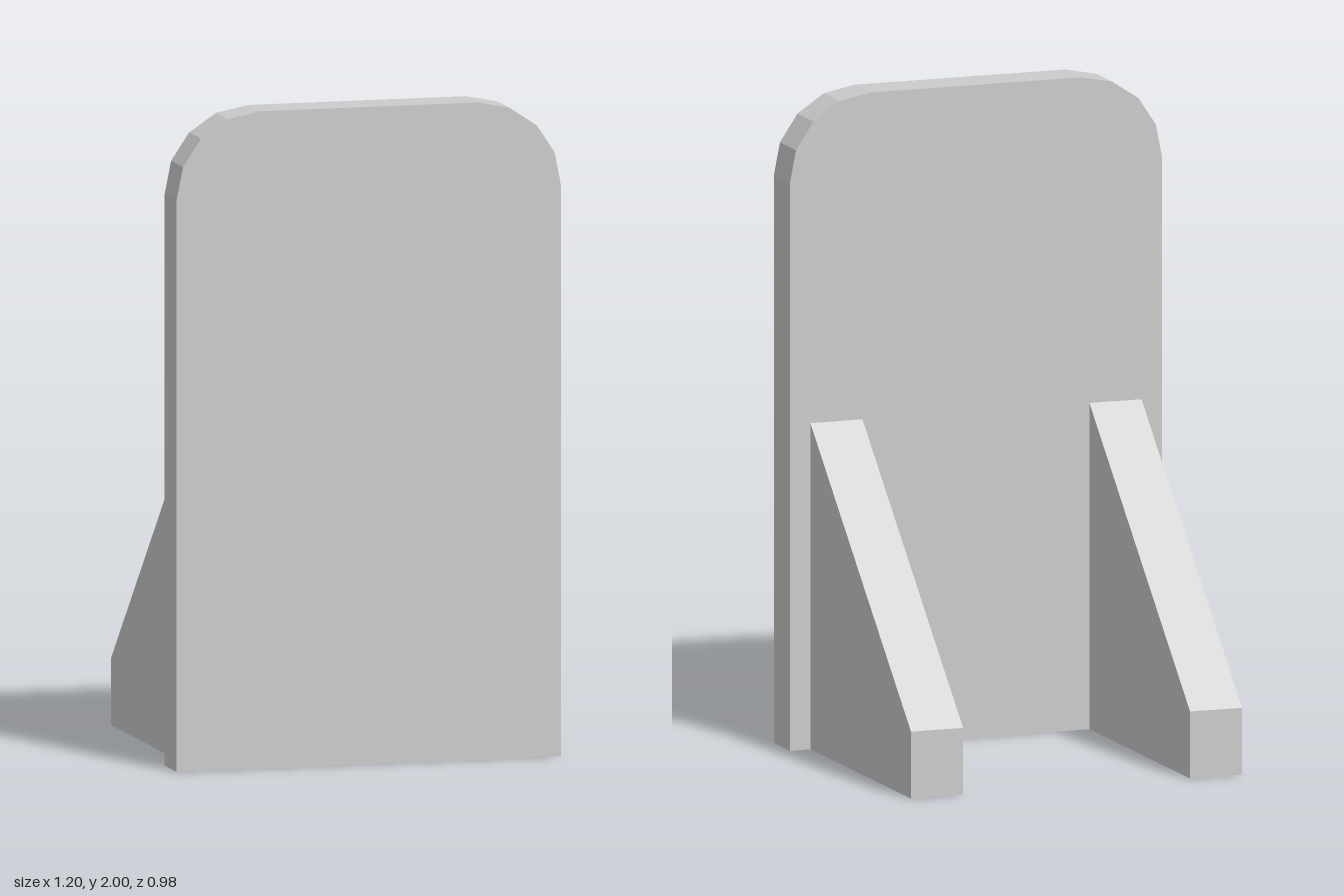
import * as THREE from 'three';

const material = new THREE.MeshStandardMaterial({ color: 0xcccccc, flatShading: true });

// Extrude a shape along z, starting at the given depth
function slab(shape, depth, z) {
  const geometry = new THREE.ExtrudeGeometry(shape, { depth, curveSegments: 2, bevelEnabled: false });
  return geometry.translate(0, 0, z);
}

export function createModel() {
  const group = new THREE.Group();
  const halfWidth = 0.6, height = 2, radius = 0.26;
  const panelBack = 0.355, panelFront = 0.49;

  // Upright panel with faceted round top corners
  const outline = new THREE.Shape();
  outline.moveTo(-halfWidth, 0);
  outline.lineTo(halfWidth, 0);
  outline.absarc(halfWidth - radius, height - radius, radius, 0, Math.PI / 2);
  outline.absarc(radius - halfWidth, height - radius, radius, Math.PI / 2, Math.PI);
  outline.closePath();
  const panel = new THREE.Mesh(slab(outline, panelFront - panelBack, panelBack), material);
  panel.name = 'panel';
  group.add(panel);

  // Sloped braces behind the panel; profile drawn as (z, y), then turned to run across x
  const profile = new THREE.Shape([
    [-0.49, 0], [panelBack, 0], [panelBack, 1], [-0.49, 0.205],
  ].map(([z, y]) => new THREE.Vector2(z, y)));
  const braceWidth = 0.168;
  const braceGeometry = slab(profile, braceWidth, -braceWidth / 2).rotateY(-Math.PI / 2);
  for (const [name, side] of [['leftBrace', 1], ['rightBrace', -1]]) {
    const brace = new THREE.Mesh(braceGeometry, material);
    brace.name = name;
    brace.position.x = side * 0.45;
    group.add(brace);
  }

  return group;
}
